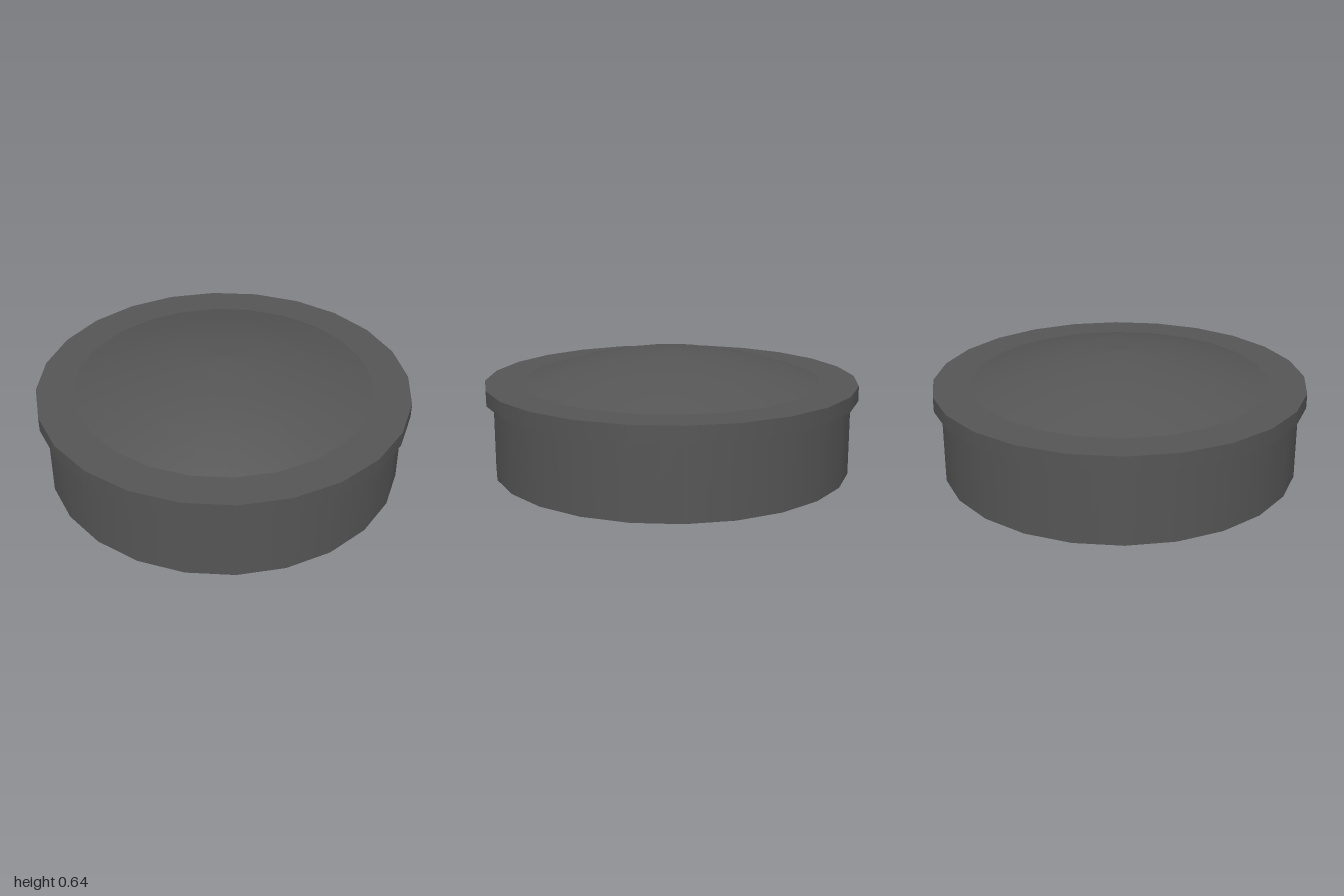
import * as THREE from 'three';

const SIDES = 24;

const darkMetal = new THREE.MeshStandardMaterial({ color: 0x555555 });
darkMetal.name = 'dark metal';
const ringMetal = new THREE.MeshStandardMaterial({ color: 0x707070 });
ringMetal.name = 'ring metal';

function add(group, name, geometry, material, y = 0) {
  const mesh = new THREE.Mesh(geometry, material);
  mesh.name = name;
  mesh.position.y = y;
  group.add(mesh);
  return mesh;
}

// Regular polygon outline with a corner on the axes
function polygon(PathType, radius, sides, cx = 0, cy = 0) {
  const points = [];
  for (let i = 0; i < sides; i++) {
    const a = (i / sides) * Math.PI * 2;
    points.push(new THREE.Vector2(cx + radius * Math.cos(a), cy + radius * Math.sin(a)));
  }
  return new PathType(points);
}

export function createModel() {
  const model = new THREE.Group();
  model.name = 'domedCap';

  // Drum wall and the wider lip above it
  add(model, 'drumWall', new THREE.CylinderGeometry(0.96, 0.96, 0.4, SIDES, 1, true), darkMetal, 0.2);
  add(model, 'lip', new THREE.CylinderGeometry(1, 1, 0.08, SIDES), darkMetal, 0.44);

  // Shallow dome, smooth across its three bands
  const profile = [[0.8, 0], [0.53, 0.085], [0.27, 0.14], [0, 0.16]];
  add(model, 'dome',
    new THREE.LatheGeometry(profile.map(([r, y]) => new THREE.Vector2(r, y)), SIDES),
    darkMetal, 0.48);

  // Bottom ring with a small bolt hole at the middle of each side
  const shape = polygon(THREE.Shape, 0.9595, SIDES);
  shape.holes.push(polygon(THREE.Path, 0.8, SIDES));
  for (let i = 0; i < SIDES; i++) {
    const a = ((i + 0.5) / SIDES) * Math.PI * 2;
    shape.holes.push(polygon(THREE.Path, 0.017, 8, 0.88 * Math.cos(a), 0.88 * Math.sin(a)));
  }
  const ring = new THREE.ExtrudeGeometry(shape, { depth: 0.08, bevelEnabled: false });
  ring.rotateX(-Math.PI / 2);
  add(model, 'bottomRing', ring, ringMetal);

  // Dark plugs set just inside the bolt holes
  const plugs = new THREE.Group();
  plugs.name = 'boltPlugs';
  const plug = new THREE.CircleGeometry(0.017, 8).rotateX(Math.PI / 2);
  for (let i = 0; i < SIDES; i++) {
    const a = ((i + 0.5) / SIDES) * Math.PI * 2;
    const mesh = add(plugs, 'boltPlug', plug, darkMetal, 0.004);
    mesh.position.x = 0.88 * Math.cos(a);
    mesh.position.z = 0.88 * Math.sin(a);
  }
  model.add(plugs);

  // Recessed underside
  add(model, 'recessedFloor', new THREE.CircleGeometry(0.81, SIDES).rotateX(Math.PI / 2), darkMetal, 0.079);

  return model;
}
